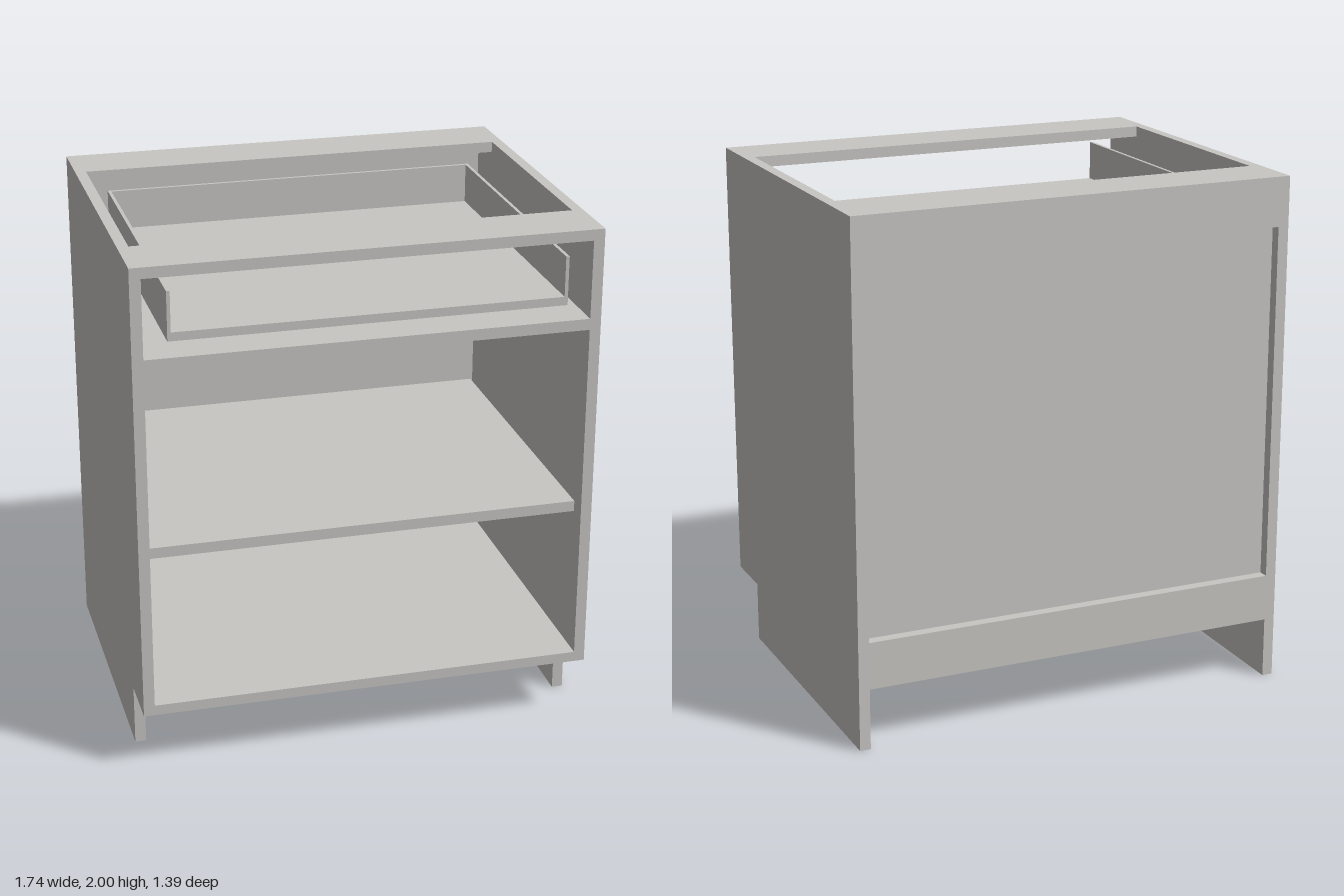
import * as THREE from 'three';

const W = 0.87;      // half width
const D = 0.697;     // half depth
const T = 0.042;     // board thickness
const IN = W - T;    // inner half width
const KICK_Y = 0.237, KICK_Z = 0.475;

export function createModel() {
  const model = new THREE.Group();
  model.name = 'baseCabinet';
  const board = new THREE.MeshStandardMaterial({ color: 0xc8c6c3 });
  board.name = 'paleGreyBoard';

  // Box given by its extents on each axis
  function slab(name, x0, x1, y0, y1, z0, z1, parent = model) {
    const mesh = new THREE.Mesh(new THREE.BoxGeometry(x1 - x0, y1 - y0, z1 - z0), board);
    mesh.position.set((x0 + x1) / 2, (y0 + y1) / 2, (z0 + z1) / 2);
    mesh.name = name;
    parent.add(mesh);
  }

  // Side panels with the toe-kick notch at the lower front
  const outline = new THREE.Shape([
    [-D, KICK_Y], [-KICK_Z, KICK_Y], [-KICK_Z, 0], [D, 0], [D, 2], [-D, 2],
  ].map(([x, y]) => new THREE.Vector2(x, y)));
  const sideGeometry = new THREE.ExtrudeGeometry(outline, { depth: T, bevelEnabled: false });
  sideGeometry.rotateY(Math.PI / 2); // shape x becomes -z, depth becomes +x
  for (const [name, x] of [['leftSide', IN], ['rightSide', -W]]) {
    const side = new THREE.Mesh(sideGeometry, board);
    side.position.x = x;
    side.name = name;
    model.add(side);
  }

  // Carcass boards
  slab('bottomPanel', -IN, IN, KICK_Y, 0.277, -D, D);
  slab('drawerDivider', -IN, IN, 1.615, 1.658, -0.64, D);
  slab('frontTopRail', -IN, IN, 1.958, 2, 0.463, D);
  slab('rearTopRail', -IN, IN, 1.958, 2, -D, -0.47);
  slab('shelf', -0.82, 0.82, 0.86, 0.902, -0.64, 0.645);

  // Recessed back with its two nailing rails
  slab('backPanel', -IN, IN, 0.277, 1.958, -0.655, -0.64);
  slab('upperBackRail', -IN, IN, 1.81, 1.958, -D, -0.655);
  slab('lowerBackRail', -IN, IN, 0.277, 0.42, -D, -0.655);

  // Open-fronted drawer box
  const drawer = new THREE.Group();
  drawer.name = 'drawer';
  model.add(drawer);
  const back = -0.51, front = 0.69, outer = 0.74, inner = 0.727;
  slab('drawerBottom', -inner, inner, 1.717, 1.75, back, front, drawer);
  slab('drawerBack', -inner, inner, 1.75, 1.904, back, -0.497, drawer);
  slab('drawerLeftSide', inner, outer, 1.717, 1.904, back, front, drawer);
  slab('drawerRightSide', -outer, -inner, 1.717, 1.904, back, front, drawer);

  return model;
}
